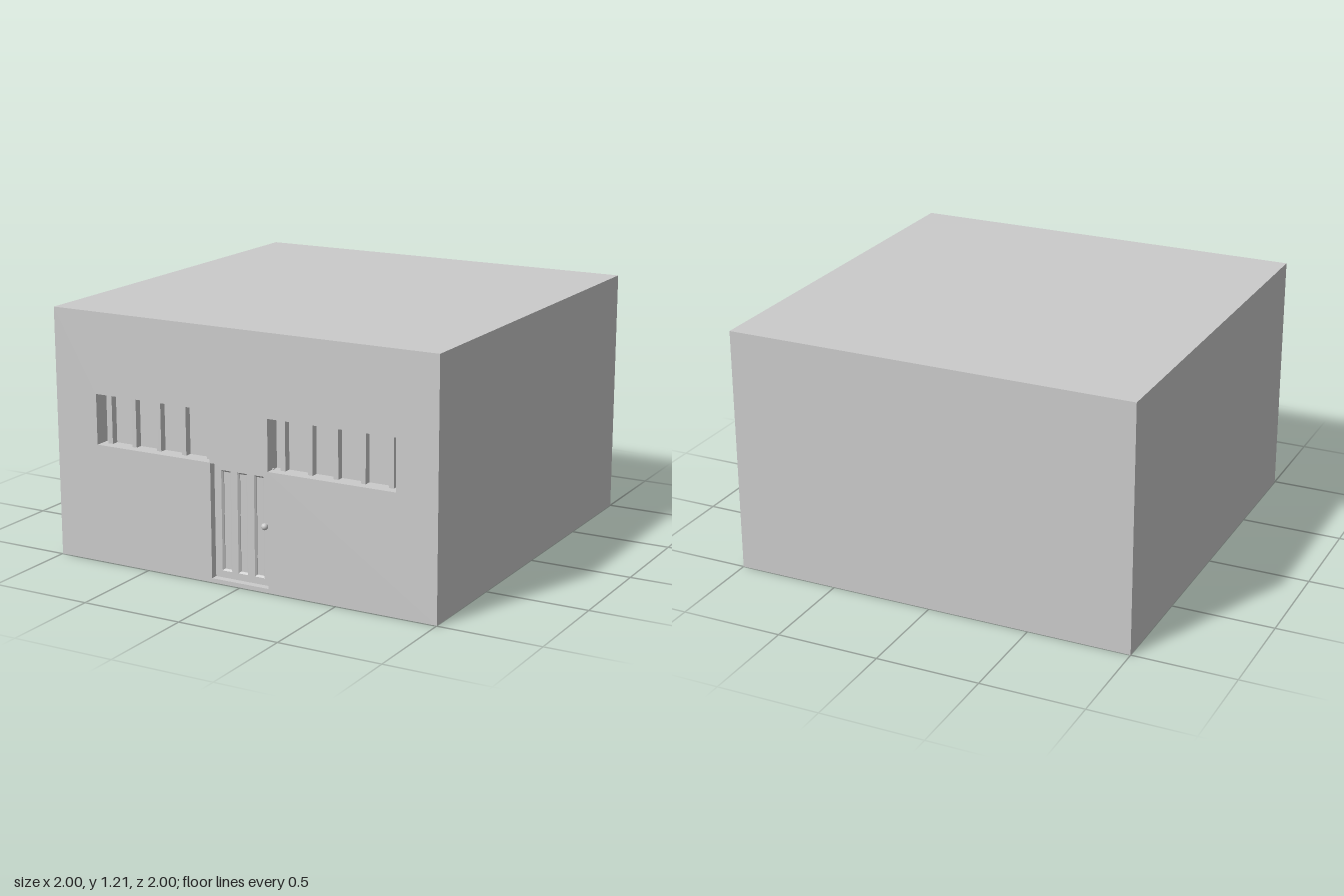
import * as THREE from 'three';

const FRONT = 0.996;        // plane of the facade
const RECESS = 0.08;        // depth of the window and door openings
const BACK = FRONT - RECESS;
const HEIGHT = 1.205;

const material = new THREE.MeshStandardMaterial({ color: 0xcccccc, flatShading: true });
const smooth = new THREE.MeshStandardMaterial({ color: 0xcccccc });

function add(parent, name, geometry, x = 0, y = 0, z = 0, mat = material) {
  const mesh = new THREE.Mesh(geometry, mat);
  mesh.name = name;
  mesh.position.set(x, y, z);
  parent.add(mesh);
  return mesh;
}

// Box given by its lower and upper limits on each axis
function block(parent, name, [x0, x1], [y0, y1], [z0, z1]) {
  return add(parent, name, new THREE.BoxGeometry(x1 - x0, y1 - y0, z1 - z0),
    (x0 + x1) / 2, (y0 + y1) / 2, (z0 + z1) / 2);
}

const outline = points => points.map(([x, y]) => new THREE.Vector2(x, y));
const rectangle = (x0, x1, y0, y1) => outline([[x0, y0], [x1, y0], [x1, y1], [x0, y1]]);

export function createModel() {
  const model = new THREE.Group();
  model.name = 'building';

  const door = { left: -0.152, right: 0.15, top: 0.569, sill: 0.02 };
  const windowY = [0.571, 0.815];
  const windows = [
    { name: 'rightWindow', x: [-0.775, -0.154], bars: [-0.732, -0.597, -0.46, -0.322, -0.186] },
    { name: 'leftWindow', x: [0.152, 0.796], bars: [0.205, 0.345, 0.475, 0.612, 0.75] },
  ];

  // Main volume; its front closes the openings
  block(model, 'body', [-1, 1], [0, HEIGHT], [-1, BACK]);

  // Front wall with a door notch and two window openings
  const wall = new THREE.Shape(outline([
    [-1, 0], [door.left, 0], [door.left, door.top], [door.right, door.top],
    [door.right, 0], [1, 0], [1, HEIGHT], [-1, HEIGHT],
  ]));
  for (const w of windows) wall.holes.push(new THREE.Path(rectangle(...w.x, ...windowY)));
  add(model, 'frontWall', new THREE.ExtrudeGeometry(wall, { depth: RECESS, bevelEnabled: false }), 0, 0, BACK);

  // Upright bars inside each window
  for (const w of windows) {
    const group = new THREE.Group();
    group.name = w.name;
    for (const x of w.bars) block(group, 'windowBar', [x - 0.012, x + 0.012], windowY, [BACK, BACK + 0.035]);
    model.add(group);
  }

  // Door leaf with three bevelled vertical grooves
  const doorGroup = new THREE.Group();
  doorGroup.name = 'door';
  const doorFront = FRONT - 0.035;
  const bevel = 0.008;
  const leaf = new THREE.Shape(rectangle(door.left, door.right, door.sill, door.top));
  for (const x of [-0.09, -0.004, 0.084]) {
    leaf.holes.push(new THREE.Path(rectangle(x - 0.026, x + 0.026, 0.053, 0.533)));
  }
  add(doorGroup, 'doorLeaf', new THREE.ExtrudeGeometry(leaf, {
    depth: 0.005, bevelEnabled: true, bevelSize: bevel, bevelThickness: bevel, bevelSegments: 1,
  }), 0, 0, doorFront - bevel - 0.005);
  block(doorGroup, 'doorBack', [door.left, door.right], [door.sill, door.top], [BACK, doorFront - 0.012]);

  // Round knob on a short stem
  const knob = add(doorGroup, 'doorKnob', new THREE.SphereGeometry(0.016, 20, 14), 0.126, 0.308, 0.984, smooth);
  const stem = add(doorGroup, 'knobStem', new THREE.CylinderGeometry(0.008, 0.008, 0.025, 16),
    knob.position.x, knob.position.y, 0.97, smooth);
  stem.rotation.x = Math.PI / 2;
  model.add(doorGroup);

  // Threshold below the door
  block(model, 'threshold', [door.left, door.right], [0, door.sill], [BACK, FRONT]);

  return model;
}
